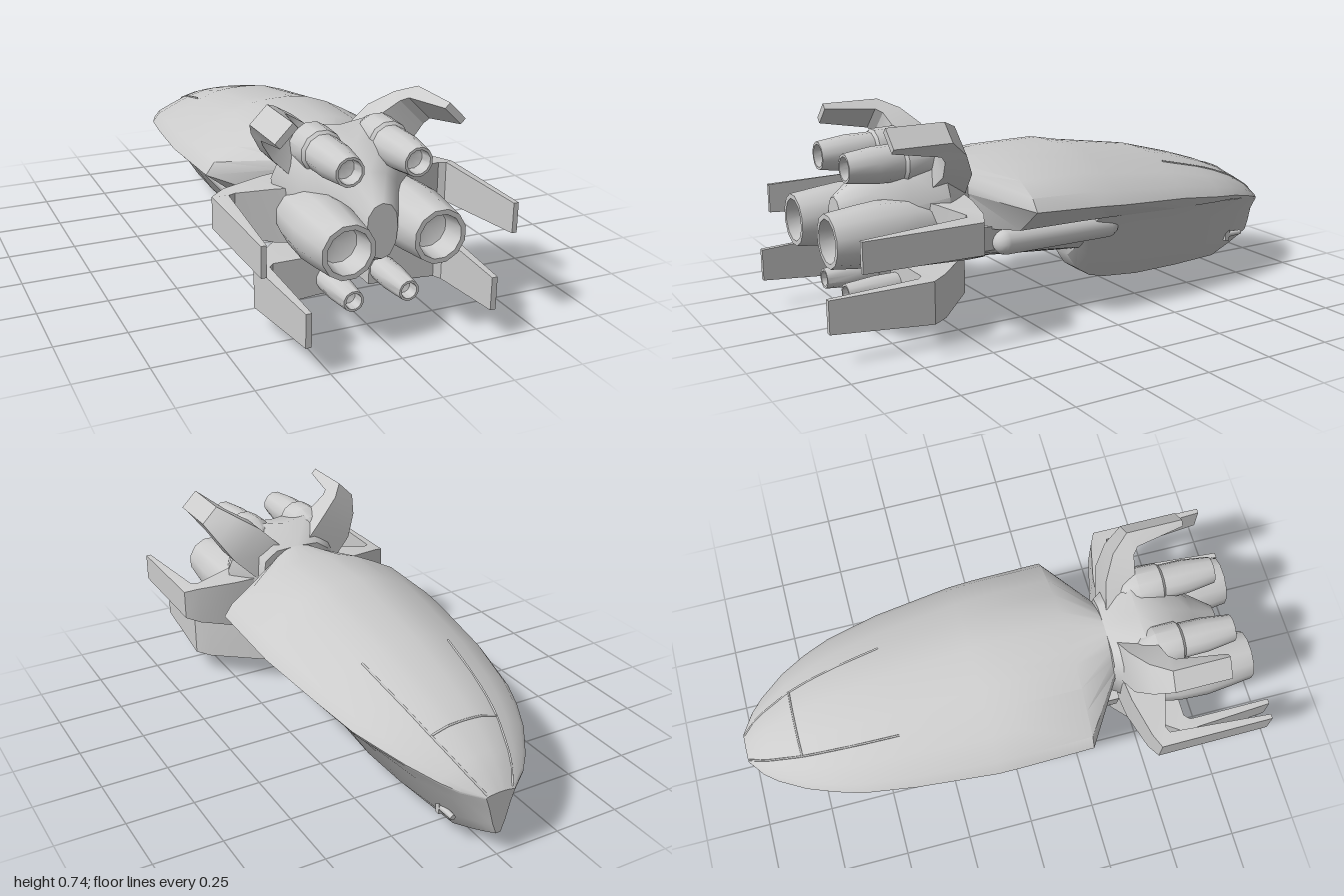
import * as THREE from 'three';
import { toCreasedNormals } from 'three/addons/utils/BufferGeometryUtils.js';

const grey = new THREE.MeshStandardMaterial({ color: 0xcccccc });

function part(parent, name, geometry) {
  const mesh = new THREE.Mesh(geometry, grey);
  mesh.name = name;
  parent.add(mesh);
  return mesh;
}

// Skin closed rings of [x, y, z] points, cap both ends, face outwards
function loft(rings, crease = 0.6) {
  const n = rings[0].length, last = rings.length - 1;
  const pos = rings.flat(2), index = [];
  rings.forEach((ring, k) => {
    if (k === last) return;
    for (let i = 0; i < n; i++) {
      const j = (i + 1) % n, a = k * n;
      index.push(a + i, a + n + i, a + j, a + j, a + n + i, a + n + j);
    }
  });
  [0, last].forEach((k, e) => {
    const c = pos.length / 3;
    for (let d = 0; d < 3; d++) pos.push(rings[k].reduce((s, p) => s + p[d], 0) / n);
    for (let i = 0; i < n; i++) {
      const a = k * n + i, b = k * n + (i + 1) % n;
      index.push(c, e ? b : a, e ? a : b);
    }
  });
  // Signed volume decides the winding
  const v = i => new THREE.Vector3(pos[3 * i], pos[3 * i + 1], pos[3 * i + 2] - rings[0][0][2]);
  let volume = 0;
  for (let t = 0; t < index.length; t += 3)
    volume += v(index[t]).dot(v(index[t + 1]).cross(v(index[t + 2])));
  if (volume < 0) index.reverse();
  const g = new THREE.BufferGeometry();
  g.setAttribute('position', new THREE.Float32BufferAttribute(pos, 3));
  g.setIndex(index);
  return toCreasedNormals(g, crease);
}

// Full ring at z from half a section running from top centre to bottom centre
const symmetric = (half, z) => [
  ...half.map(([x, y]) => [x, y, z]),
  ...half.slice(1, -1).reverse().map(([x, y]) => [-x, y, z]),
];

// Upper shell stations: z, half width, top, edge height, underside, underside width ratio
const shell = [
  [-1, 0.055, 0.25, 0.243, 0.238, 1], [-0.95, 0.125, 0.305, 0.262, 0.255, 0.99],
  [-0.9, 0.17, 0.34, 0.28, 0.272, 0.98], [-0.8, 0.235, 0.395, 0.312, 0.3, 0.97],
  [-0.7, 0.28, 0.435, 0.335, 0.318, 0.96], [-0.6, 0.315, 0.467, 0.35, 0.325, 0.94],
  [-0.4, 0.352, 0.52, 0.378, 0.328, 0.86], [-0.1, 0.385, 0.565, 0.4, 0.33, 0.73],
  [0, 0.387, 0.585, 0.408, 0.33, 0.71], [0.26, 0.385, 0.582, 0.42, 0.33, 0.7],
  [0.41, 0.15, 0.58, 0.46, 0.33, 0.85],
];
const arch = [[0, 1], [0.14, 0.99], [0.28, 0.95], [0.5, 0.78], [0.7, 0.55], [0.92, 0.27], [1, 0]];

function shellHeight(x, z) {
  const k = Math.max(1, shell.findIndex(s => s[0] >= z));
  const a = shell[k - 1], b = shell[k], t = (z - a[0]) / (b[0] - a[0]);
  const [, w, top, edge] = a.map((p, i) => p + (b[i] - p) * t);
  const u = Math.min(1, Math.abs(x) / w);
  const m = Math.max(1, arch.findIndex(p => p[0] >= u)), p = arch[m - 1], q = arch[m];
  return edge + (top - edge) * (p[1] + (q[1] - p[1]) * (u - p[0]) / (q[0] - p[0]));
}

// Fin sections: front/outer corner pair, then rear/inner pair, each [x, z, low, high]
const finRing = ([f, r], place) => [
  place(f[0], f[3], f[1]), place(r[0], r[3], r[1]), place(r[0], r[2], r[1]), place(f[0], f[2], f[1]),
];
const fins = {
  upperFin: [
    [[0, 0.42, -0.08, 0.08], [0, 0.6, -0.08, 0.08]],
    [[0.14, 0.44, -0.08, 0.08], [0.14, 0.55, -0.08, 0.08]],
    [[0.23, 0.485, -0.06, 0.06], [0.21, 0.56, -0.065, 0.065]],
    [[0.29, 0.55, -0.043, 0.043], [0.235, 0.58, -0.058, 0.058]],
    [[0.29, 0.76, -0.043, 0.043], [0.265, 0.76, -0.043, 0.043]],
  ],
  middleFin: [
    [[0.08, 0.42, 0.27, 0.47], [0.08, 0.64, 0.27, 0.47]],
    [[0.255, 0.44, 0.27, 0.46], [0.255, 0.57, 0.27, 0.46]],
    [[0.4, 0.475, 0.305, 0.45], [0.38, 0.53, 0.3, 0.45]],
    [[0.45, 0.5, 0.325, 0.437], [0.405, 0.54, 0.305, 0.45]],
    [[0.448, 0.925, 0.33, 0.435], [0.43, 0.925, 0.33, 0.435]],
  ],
  lowerFin: [
    [[0.05, 0.42, 0.1, 0.24], [0.05, 0.66, 0.1, 0.24]],
    [[0.15, 0.42, 0.097, 0.24], [0.15, 0.66, 0.097, 0.24]],
    [[0.32, 0.58, 0.085, 0.24], [0.3, 0.66, 0.085, 0.24]],
    [[0.36, 0.64, 0.085, 0.235], [0.32, 0.68, 0.08, 0.24]],
    [[0.335, 1, 0.11, 0.225], [0.315, 1, 0.11, 0.225]],
  ],
};

// Nozzle turned about the z axis, with a hollow end
function engine(parent, name, x, y, profile) {
  const g = new THREE.LatheGeometry(profile.map(([r, z]) => new THREE.Vector2(r, z)), 12, Math.PI / 12);
  g.rotateX(Math.PI / 2);
  const mesh = part(parent, name, toCreasedNormals(g, 0.6));
  mesh.position.set(x, y, 0);
}

export function createModel() {
  const model = new THREE.Group();
  model.name = 'spacecraft';

  // Broad upper shell with overhanging edges
  part(model, 'upperShell', loft(shell.map(([z, w, top, edge, low, r]) => symmetric([
    ...arch.map(([u, v]) => [u * w, edge + (top - edge) * v]), [w * r, low], [0, low],
  ], z))));

  // Deep forward belly: z, half width, top, bottom
  const belly = [
    [-1, 0.055, 0.238, 0.09], [-0.95, 0.123, 0.255, 0.07], [-0.9, 0.166, 0.272, 0.05],
    [-0.8, 0.228, 0.3, 0.012], [-0.6, 0.29, 0.325, 0.006], [-0.4, 0.302, 0.328, 0.004],
    [-0.25, 0.292, 0.33, 0.016], [-0.18, 0.285, 0.33, 0.032], [-0.12, 0.275, 0.33, 0.07], [-0.08, 0.265, 0.33, 0.13],
  ];
  part(model, 'forwardBelly', loft(belly.map(([z, w, top, bottom]) => symmetric(
    [[0, 1], [1, 1], [0.77, 0.75], [0.44, 0.28], [0.16, 0], [0, 0]]
      .map(([u, v]) => [u * w, bottom + (top - bottom) * v]), z))));

  // Narrow rear hull beneath the shell
  part(model, 'rearHull', loft([[-0.12, 0.152], [0.42, 0.2]].map(([z, b]) => symmetric(
    [[0, 0.34], [0.2, 0.34], [0.19, 0.25], [0.11, b + 0.02], [0.05, b], [0, b]], z))));

  // Tail body tapering between the engines
  const tail = [
    [0.4, [[0, 0.58], [0.09, 0.575], [0.14, 0.54], [0.155, 0.45], [0.16, 0.33], [0.06, 0.2], [0, 0.2]]],
    [0.52, [[0, 0.635], [0.1, 0.65], [0.2, 0.59], [0.25, 0.48], [0.23, 0.32], [0.07, 0.21], [0, 0.2]]],
    [0.64, [[0, 0.61], [0.1, 0.62], [0.17, 0.56], [0.2, 0.45], [0.19, 0.32], [0.06, 0.22], [0, 0.2]]],
    [0.74, [[0, 0.54], [0.06, 0.53], [0.1, 0.49], [0.12, 0.43], [0.11, 0.33], [0.04, 0.25], [0, 0.23]]],
    [0.84, [[0, 0.47], [0.03, 0.46], [0.05, 0.43], [0.055, 0.38], [0.05, 0.33], [0.03, 0.29], [0, 0.28]]],
  ];
  part(model, 'tailBody', loft(tail.map(([z, half]) => symmetric(half, z)), 0.9));

  for (const side of [1, -1]) {
    const half = new THREE.Group();
    half.name = side > 0 ? 'leftSide' : 'rightSide';
    model.add(half);

    // Swept fins; the upper pair is tilted by 45 degrees
    const c = Math.SQRT1_2;
    for (const [name, sections] of Object.entries(fins)) {
      const place = name === 'upperFin'
        ? (x, y, z) => [side * (0.1 + c * (x - y)), 0.51 + c * (x + y), z]
        : (x, y, z) => [side * x, y, z];
      part(half, name, loft(sections.map(s => finRing(s, place)), 0.5));
    }

    // Three engines on each side
    engine(half, 'mainEngine', side * 0.16, 0.365, [
      [0, 0.48], [0.085, 0.52], [0.108, 0.64], [0.113, 0.75], [0.105, 0.83], [0.093, 0.93],
      [0.076, 0.93], [0.066, 0.85], [0, 0.83]]);
    engine(half, 'upperEngine', side * 0.12, 0.592, [
      [0, 0.46], [0.055, 0.5], [0.078, 0.55], [0.075, 0.64], [0.065, 0.65], [0.064, 0.74], [0.05, 0.845],
      [0.041, 0.845], [0.036, 0.8], [0, 0.79]]);
    engine(half, 'lowerEngine', side * 0.1, 0.152, [
      [0, 0.6], [0.046, 0.65], [0.046, 0.74], [0.036, 0.85], [0.028, 0.85], [0.024, 0.81], [0, 0.8]]);

    // Long tank tucked under the shell edge
    const tank = part(half, 'sideTank', new THREE.CapsuleGeometry(0.047, 0.43, 6, 12).rotateX(Math.PI / 2));
    tank.position.set(side * 0.205, 0.278, 0.07);

    // Small gun in a housing low on the nose
    const housing = part(half, 'gunHousing', new THREE.BoxGeometry(0.05, 0.05, 0.02));
    housing.position.set(side * 0.09, 0.117, -0.815);
    const barrel = part(half, 'gunBarrel', new THREE.CylinderGeometry(0.013, 0.01, 0.08, 8).rotateX(Math.PI / 2));
    barrel.position.set(side * 0.102, 0.115, -0.85);

    // Canopy side frame lying on the shell
    const rail = [[0.05, -0.995], [0.085, -0.93], [0.108, -0.86], [0.13, -0.78], [0.147, -0.68], [0.163, -0.55], [0.175, -0.42]]
      .map(([x, z]) => new THREE.Vector3(side * x, shellHeight(x, z), z));
    part(half, 'canopyRail', new THREE.TubeGeometry(new THREE.CatmullRomCurve3(rail), 40, 0.004, 6));
  }

  // Canopy cross frame
  const bar = [];
  for (let i = -6; i <= 6; i++) {
    const x = i * 0.022;
    bar.push(new THREE.Vector3(x, shellHeight(x, -0.785), -0.785));
  }
  part(model, 'canopyCrossbar', new THREE.TubeGeometry(new THREE.CatmullRomCurve3(bar), 36, 0.004, 6));

  return model;
}
